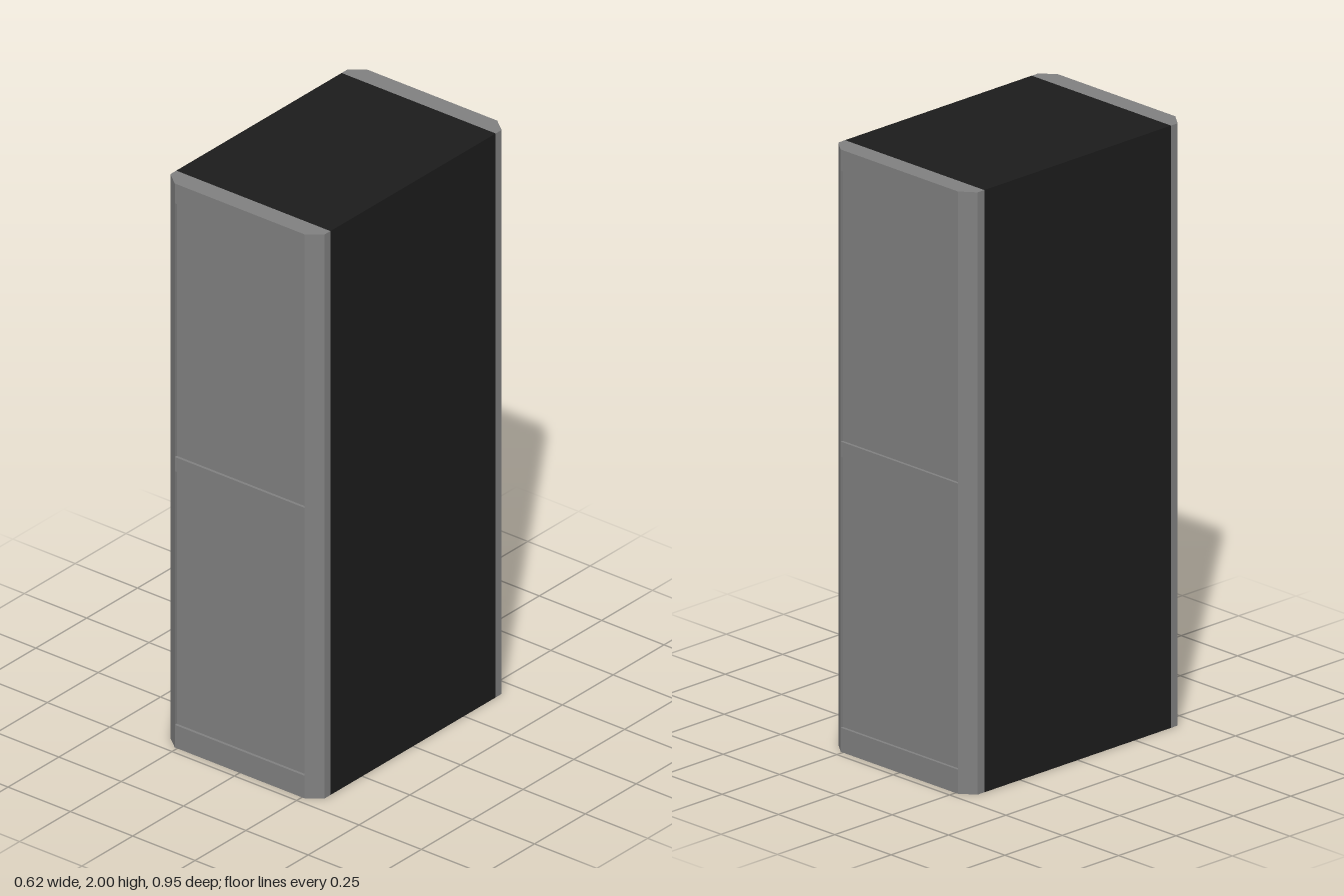
import * as THREE from 'three';

const W = 0.309, BODY_Z = 0.4065, FACE_Z = 0.474;   // half width, body half depth, door face
const INNER = 0.26, CHAMFER_Z = 0.436, PANEL_Z = 0.464;
const H = 2;

const doorMat = new THREE.MeshStandardMaterial({ color: 0x808080 });
const bodyMat = new THREE.MeshStandardMaterial({ color: 0x1c1c1c });

// Box given by its minimum and maximum corners
function block(name, mat, x0, x1, y0, y1, z0, z1) {
  const mesh = new THREE.Mesh(new THREE.BoxGeometry(x1 - x0, y1 - y0, z1 - z0), mat);
  mesh.position.set((x0 + x1) / 2, (y0 + y1) / 2, (z0 + z1) / 2);
  mesh.name = name;
  return mesh;
}

// Upright with a chamfered outer corner, side = +1 or -1
function doorPost(side) {
  const pts = [[INNER, BODY_Z], [W, BODY_Z], [W, CHAMFER_Z], [INNER, FACE_Z]];
  const shape = new THREE.Shape(pts.map(([x, z]) => new THREE.Vector2(side * x, -z)));
  const geo = new THREE.ExtrudeGeometry(shape, { depth: H, bevelEnabled: false });
  geo.rotateX(-Math.PI / 2);
  const mesh = new THREE.Mesh(geo, doorMat);
  mesh.name = side > 0 ? 'leftPost' : 'rightPost';
  return mesh;
}

// Door: chamfered posts, a recessed panel and three raised rails
function door(name) {
  const group = new THREE.Group();
  group.name = name;
  group.add(doorPost(1), doorPost(-1));
  group.add(block('recessedPanel', doorMat, -INNER, INNER, 0, H, BODY_Z, PANEL_Z));
  const rails = { bottomRail: [0, 0.08], middleRail: [0.98, 1.03], topRail: [1.93, H] };
  for (const [railName, [y0, y1]] of Object.entries(rails)) {
    group.add(block(railName, doorMat, -INNER, INNER, y0, y1, PANEL_Z, FACE_Z));
  }
  return group;
}

export function createModel() {
  const model = new THREE.Group();
  model.name = 'cabinet';
  model.add(block('body', bodyMat, -W, W, 0, H, -BODY_Z, BODY_Z));

  // Identical doors on the front and back
  const backDoor = door('backDoor');
  backDoor.rotation.y = Math.PI;
  model.add(door('frontDoor'), backDoor);
  return model;
}
